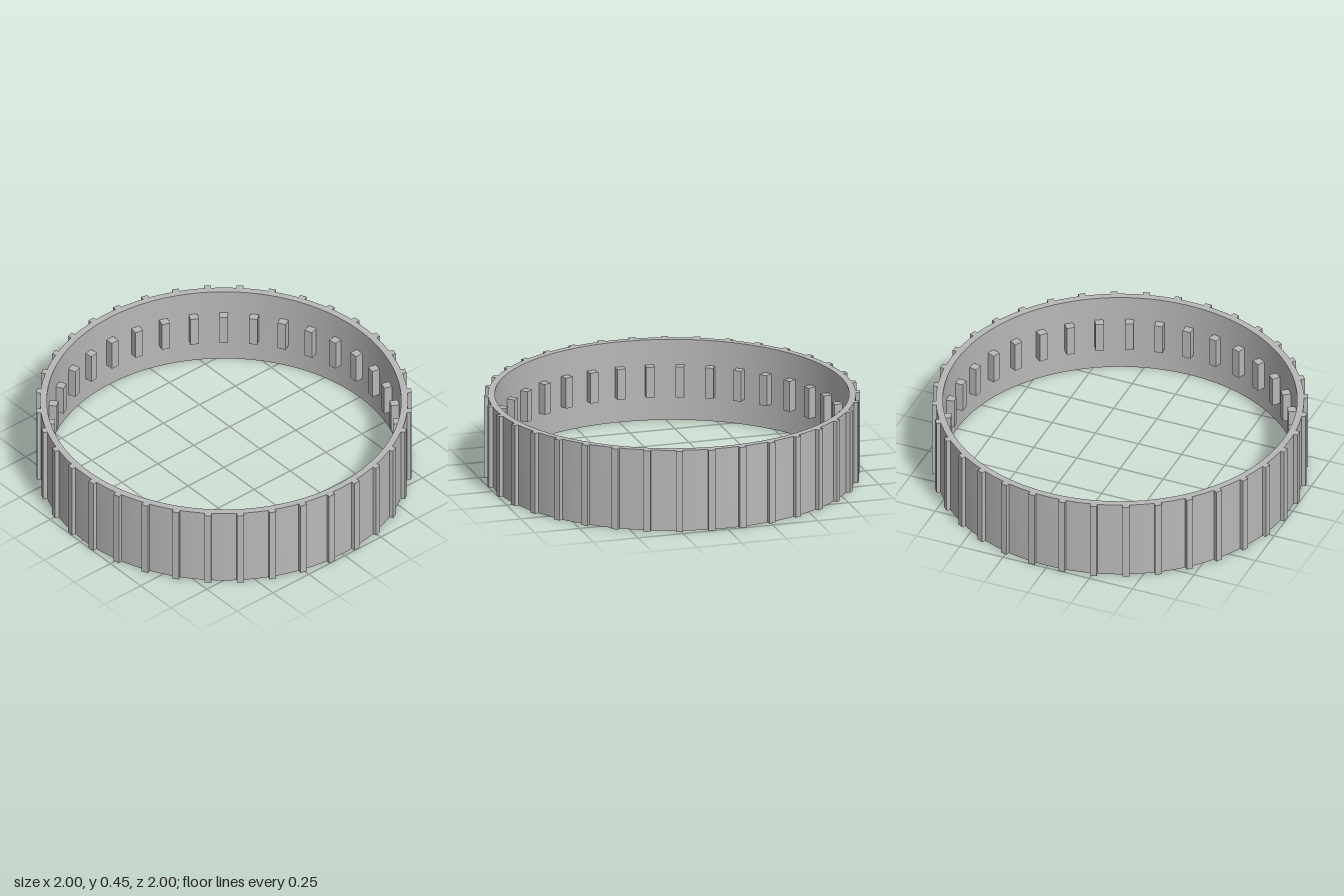
import * as THREE from 'three';
import { toCreasedNormals } from 'three/addons/utils/BufferGeometryUtils.js';

const HEIGHT = 0.45;
const OUTER = 0.98;
const INNER = 0.944;
const COUNT = 36;

export function createModel() {
  const model = new THREE.Group();
  model.name = 'ribbedRing';
  const grey = new THREE.MeshStandardMaterial({ color: 0xb8b8b8 });
  grey.name = 'plain grey';

  // Thin band: closed rectangular profile turned round the y axis
  const profile = [
    [INNER, 0], [OUTER, 0], [OUTER, HEIGHT], [INNER, HEIGHT], [INNER, 0],
  ].map(([r, y]) => new THREE.Vector2(r, y));
  const bandGeometry = toCreasedNormals(new THREE.LatheGeometry(profile, 144), Math.PI / 6);
  const band = new THREE.Mesh(bandGeometry, grey);
  band.name = 'band';
  model.add(band);

  // Evenly spaced blocks between two radii
  function addBlocks(name, r0, r1, width, y0, y1, offset) {
    const group = new THREE.Group();
    group.name = name + 's';
    const geometry = new THREE.BoxGeometry(width, y1 - y0, r1 - r0);
    geometry.translate(0, (y0 + y1) / 2, (r0 + r1) / 2);
    for (let i = 0; i < COUNT; i++) {
      const block = new THREE.Mesh(geometry, grey);
      block.name = name;
      block.rotation.y = ((i + offset) / COUNT) * Math.PI * 2;
      group.add(block);
    }
    model.add(group);
  }

  // Full-height ribs outside, short lugs inside, staggered by half a step
  addBlocks('outerRib', 0.965, 1.002, 0.037, 0, HEIGHT, 0.5);
  addBlocks('innerLug', 0.9, 0.955, 0.046, 0.14, 0.31, 0);

  return model;
}
